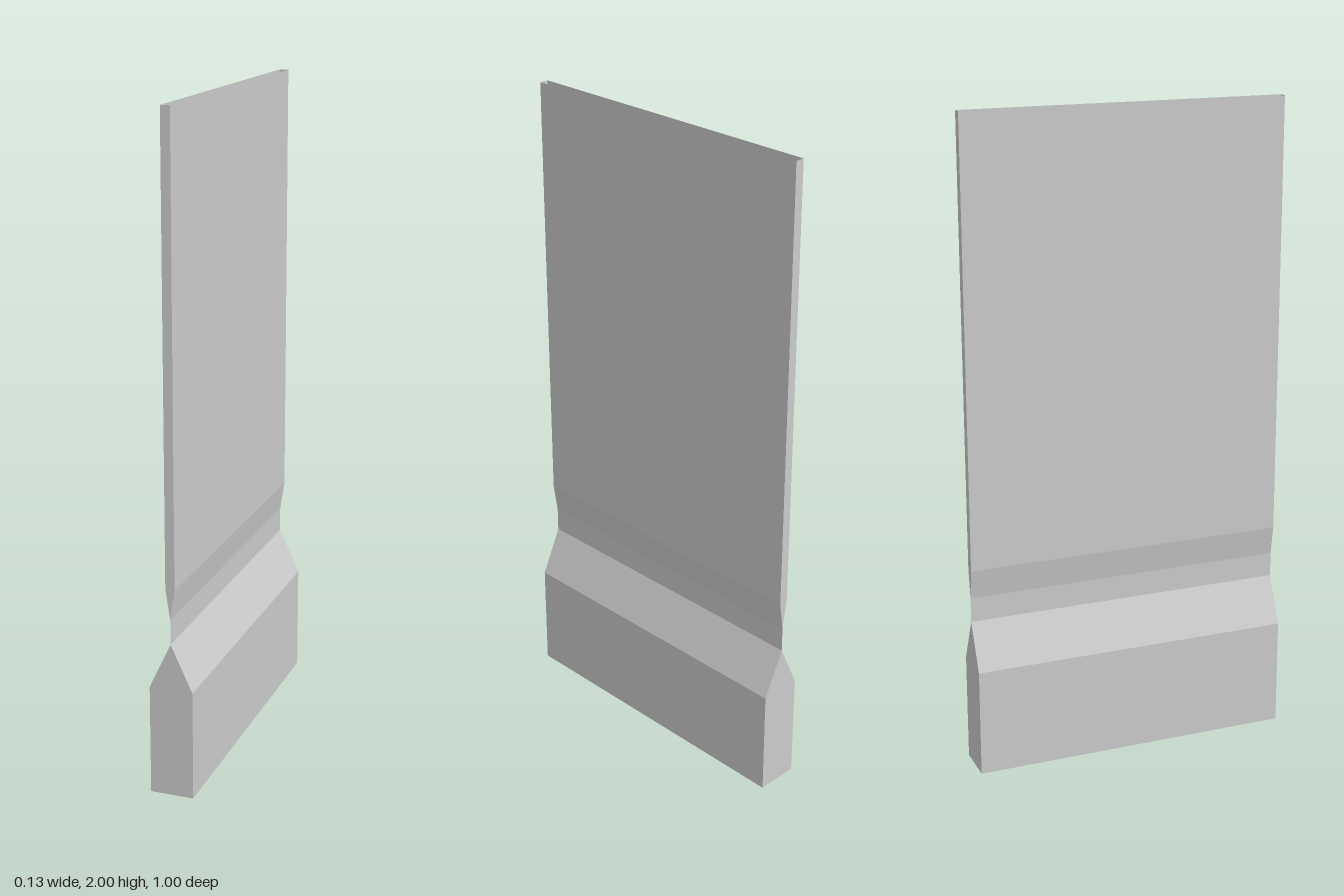
import * as THREE from 'three';

const HALF_LENGTH = 0.5;
const material = new THREE.MeshStandardMaterial({
  color: 0xcccccc, flatShading: true, side: THREE.DoubleSide,
});

// Sweep an open [x, y] outline along z into flat wall strips.
function sweepWall(outline) {
  const pos = [];
  for (let i = 0; i < outline.length - 1; i++) {
    const [x0, y0] = outline[i], [x1, y1] = outline[i + 1];
    const a = [x0, y0, HALF_LENGTH], b = [x0, y0, -HALF_LENGTH];
    const c = [x1, y1, -HALF_LENGTH], d = [x1, y1, HALF_LENGTH];
    pos.push(...a, ...b, ...c, ...a, ...c, ...d);
  }
  const geo = new THREE.BufferGeometry();
  geo.setAttribute('position', new THREE.Float32BufferAttribute(pos, 3));
  geo.computeVertexNormals();
  return geo;
}

function addMesh(parent, name, geometry) {
  const mesh = new THREE.Mesh(geometry, material);
  mesh.name = name;
  parent.add(mesh);
  return mesh;
}

// Hollow wedge-ended channel: two end caps, and walls left open on one side.
function channel(name, outline) {
  const group = new THREE.Group();
  group.name = name;
  addMesh(group, name + 'Walls', sweepWall(outline));
  const shape = new THREE.Shape(outline.map(([x, y]) => new THREE.Vector2(x, y)));
  for (const end of [1, -1]) {
    const cap = addMesh(group, name + (end > 0 ? 'FrontEnd' : 'BackEnd'), new THREE.ShapeGeometry(shape));
    cap.position.z = end * HALF_LENGTH;
    if (end < 0) cap.rotation.y = Math.PI;
  }
  return group;
}

export function createModel() {
  const model = new THREE.Group();
  model.name = 'neckedPanel';

  const baseHalf = 0.066, panelHalf = 0.014;
  const shoulder = 0.335, neckBottom = 0.477, neckTop = 0.553, panelBottom = 0.645;

  // Wide base, open underneath
  model.add(channel('base', [
    [baseHalf, 0], [baseHalf, shoulder], [0, neckBottom], [-baseHalf, shoulder], [-baseHalf, 0],
  ]));

  // Paper-thin neck joining the two channels
  addMesh(model, 'neck', sweepWall([[0, neckBottom], [0, neckTop]]));

  // Tall slim panel, open along the top
  model.add(channel('panel', [
    [-panelHalf, 2], [-panelHalf, panelBottom], [0, neckTop], [panelHalf, panelBottom], [panelHalf, 2],
  ]));

  return model;
}
